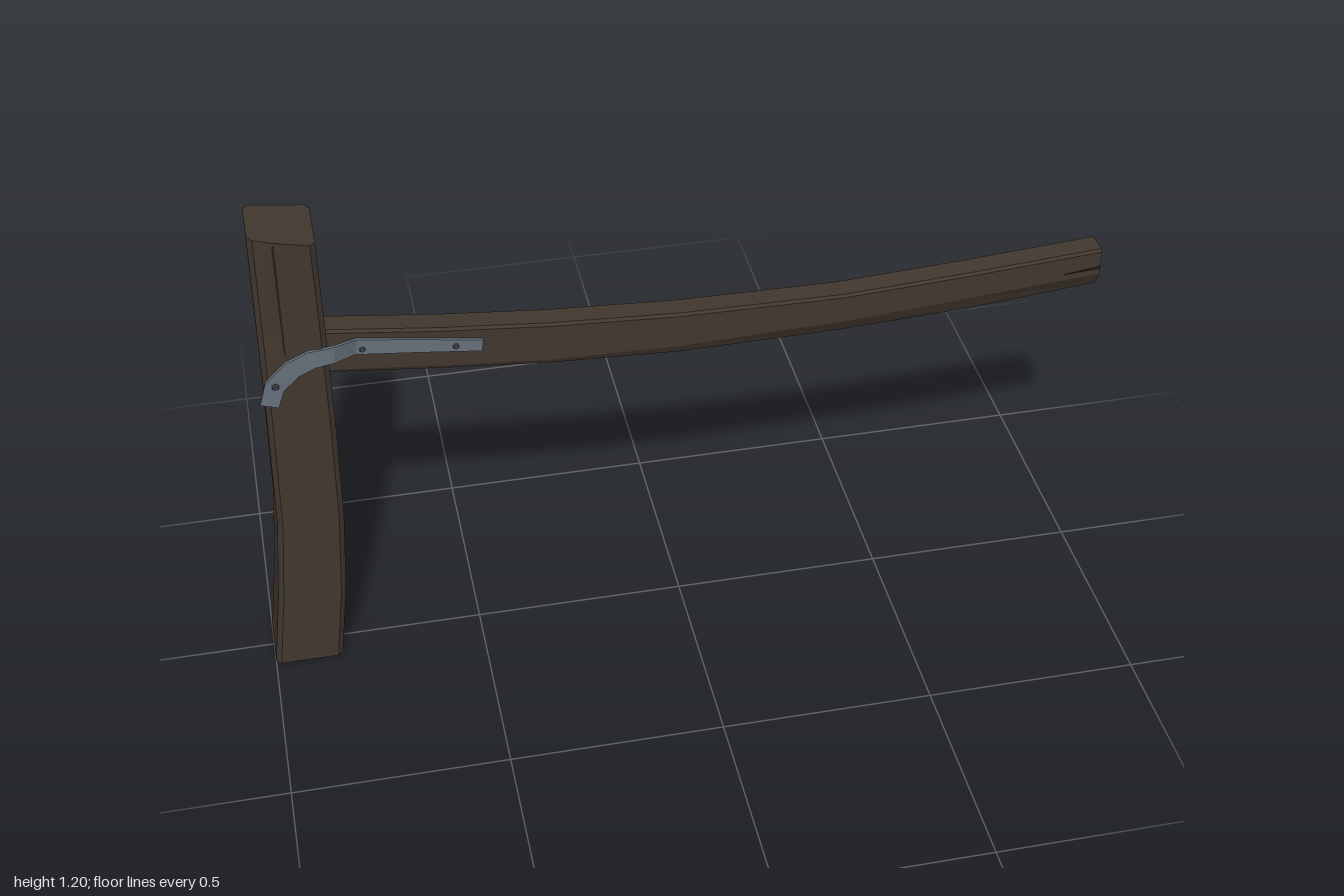
import * as THREE from 'three';

const material = (name, color, extra = {}) => {
  const m = new THREE.MeshStandardMaterial({ color, flatShading: true, ...extra });
  m.name = name;
  return m;
};

// Skin a row of cross-sections (each counter-clockwise about the path) and close both ends
function loft(rings) {
  const pos = [];
  const tri = (a, b, c) => pos.push(...a, ...b, ...c);
  const n = rings[0].length, last = rings[rings.length - 1];
  for (let i = 0; i < rings.length - 1; i++) {
    for (let j = 0; j < n; j++) {
      const k = (j + 1) % n;
      const a = rings[i][j], b = rings[i][k], c = rings[i + 1][k], d = rings[i + 1][j];
      tri(a, b, c);
      tri(a, c, d);
    }
  }
  for (let j = 1; j < n - 1; j++) {
    tri(rings[0][0], rings[0][j + 1], rings[0][j]);
    tri(last[0], last[j], last[j + 1]);
  }
  const g = new THREE.BufferGeometry();
  g.setAttribute('position', new THREE.Float32BufferAttribute(pos, 3));
  g.computeVertexNormals();
  return g;
}

export function createModel() {
  const group = new THREE.Group();
  const wood = material('dark wood', 0x41372e);
  const crackWood = material('wood crack', 0x211c17);
  const metal = material('grey iron', 0x66707a);
  const boltMetal = material('dark iron', 0x3c4349);
  const add = (name, geometry, mat, parent = group) => {
    const mesh = new THREE.Mesh(geometry, mat);
    mesh.name = name;
    parent.add(mesh);
    return mesh;
  };

  // Leaning post: height, left x, right x, set-back of the worn front left side
  const c = 0.012;
  const postRings = [
    [0, -1, -0.84, 0], [0.2, -0.975, -0.816, 0], [0.42, -0.955, -0.802, 0],
    [0.7, -0.948, -0.798, 0.002], [0.95, -0.945, -0.798, 0.007], [1.2, -0.942, -0.8, 0.01],
  ].map(([y, l, r, worn], i, all) => {
    const f = 0.072, b = -0.077, mid = l + 0.05;
    return [
      [l + c, f - worn], [mid, f - worn * 0.3], [r - c, f], [r, f - c],
      [r, b + c], [r - c, b], [l + c, b], [l, b + c], [l, f - c - worn],
    ].map(([x, z]) => {
      // The saw cut on top slopes down to the right
      const cut = i === all.length - 1 ? (x - l) * (0.16 + z * 0.5) : 0;
      return [x, y - cut, z];
    });
  });
  add('post', loft(postRings), wood);

  // Sagging rail: x, bottom, top, height and depth of the worn lower front edge
  const e = 0.006;
  const railRings = [
    [-0.83, 0.81, 0.925, 0.01, 0.005], [-0.55, 0.78, 0.89, 0.01, 0.005],
    [-0.3, 0.756, 0.866, 0.012, 0.006], [0, 0.739, 0.849, 0.022, 0.01],
    [0.38, 0.738, 0.845, 0.035, 0.018], [0.68, 0.754, 0.862, 0.04, 0.016],
    [1, 0.78, 0.885, 0.038, 0.02],
  ].map(([x, b, t, h, d]) => [
    [t - e, -0.035], [t, -0.035 + e], [t, 0.03 - e], [t - e, 0.03],
    [b + h, 0.03], [b, 0.03 - d], [b, -0.035 + e], [b + e, -0.035],
  ].map(([y, z]) => [x, y, z]));
  add('rail', loft(railRings), wood);

  // Thin splits in the wood
  const split = (name, points, z) => {
    const shape = new THREE.Shape(points.map(([x, y]) => new THREE.Vector2(x, y)));
    const g = new THREE.ExtrudeGeometry(shape, { depth: 0.002, bevelEnabled: false });
    add(name, g, crackWood).position.z = z;
  };
  split('railEndSplit', [[0.91, 0.828], [0.998, 0.832], [0.998, 0.839], [0.96, 0.835]], 0.0295);
  split('postSplit', [[-0.893, 0.9], [-0.889, 0.9], [-0.887, 1.18], [-0.892, 1.18]], 0.0685);
  const endSplit = add('railEndCrack', new THREE.BoxGeometry(0.003, 0.007, 0.035), crackWood);
  endSplit.position.set(0.9985, 0.838, 0.013);

  // Iron strap that bends around the post and runs along the rail: x, y, z, width
  const strap = new THREE.Group();
  strap.name = 'strap';
  group.add(strap);
  const path = [
    [-0.925, 0.77, 0.073, 0.042], [-0.922, 0.82, 0.073, 0.046], [-0.88, 0.862, 0.075, 0.046],
    [-0.835, 0.883, 0.076, 0.045], [-0.785, 0.885, 0.07, 0.043], [-0.735, 0.874, 0.034, 0.04],
    [-0.6, 0.856, 0.033, 0.035], [-0.455, 0.836, 0.033, 0.03],
  ];
  path[0][0] = -0.938;
  const strapRings = path.map(([x, y, z, w], i) => {
    const p = path[Math.max(i - 1, 0)], q = path[Math.min(i + 1, path.length - 1)];
    const len = Math.hypot(q[0] - p[0], q[1] - p[1]);
    const nx = -(q[1] - p[1]) / len * w / 2, ny = (q[0] - p[0]) / len * w / 2;
    const t = 0.004;
    return [
      [x + nx, y + ny, z - t], [x + nx, y + ny, z + t],
      [x - nx, y - ny, z + t], [x - nx, y - ny, z - t],
    ];
  });
  add('strapBand', loft(strapRings), metal, strap);

  // Bolt heads
  for (const [x, y, z] of [[-0.92, 0.822, 0.079], [-0.722, 0.866, 0.037], [-0.515, 0.843, 0.037]]) {
    const bolt = add('bolt', new THREE.CylinderGeometry(0.006, 0.01, 0.009, 6), boltMetal, strap);
    bolt.rotation.x = Math.PI / 2;
    bolt.position.set(x, y, z);
  }

  return group;
}
